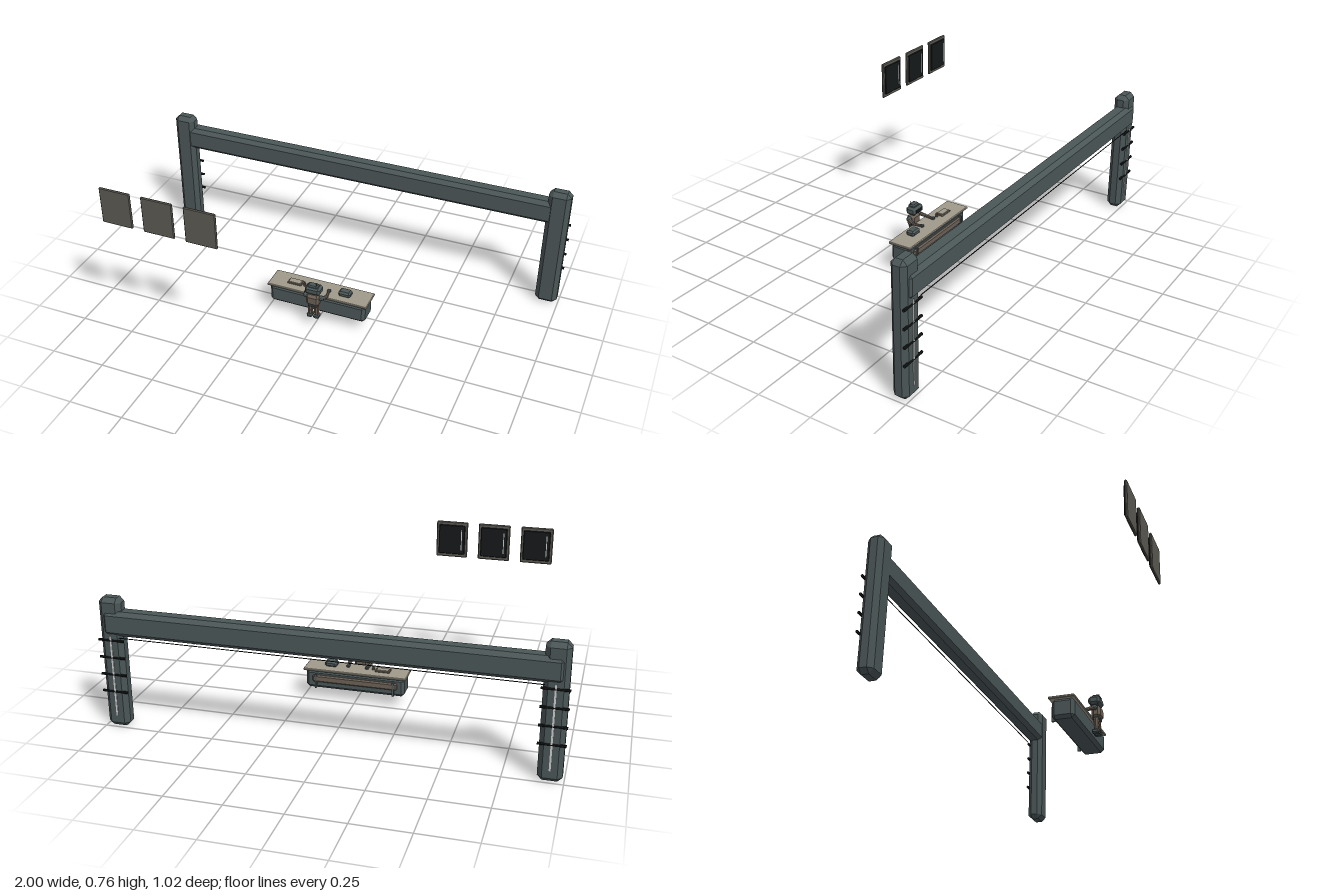
import * as THREE from 'three';
import { ConvexGeometry } from 'three/addons/geometries/ConvexGeometry.js';

const mat = (color) => new THREE.MeshStandardMaterial({ color, flatShading: true });
const slate = mat(0x4b5657), brown = mat(0x6b6055), stone = mat(0xa09a8c);
const dark = mat(0x151819), frame = mat(0x5c5a54), pale = mat(0xc8ccc8);

// Box with every edge and corner cut off by c
function chamferBox(w, h, d, c) {
  const pts = [];
  for (const x of [-1, 1]) for (const y of [-1, 1]) for (const z of [-1, 1]) {
    for (let k = 0; k < 3; k++) {
      const i = [c, c, c];
      i[k] = 0;
      pts.push(new THREE.Vector3(x * (w / 2 - i[0]), y * (h / 2 - i[1]), z * (d / 2 - i[2])));
    }
  }
  return new ConvexGeometry(pts);
}

function add(parent, name, geometry, material, x, y, z) {
  const mesh = new THREE.Mesh(geometry, material);
  mesh.name = name;
  mesh.position.set(x, y, z);
  parent.add(mesh);
  return mesh;
}

// Block given by its limits on each axis, chamfered when c > 0
function block(parent, name, material, [x0, x1], [y0, y1], [z0, z1], c = 0) {
  const s = [x1 - x0, y1 - y0, z1 - z0];
  const g = c ? chamferBox(...s, c) : new THREE.BoxGeometry(...s);
  return add(parent, name, g, material, (x0 + x1) / 2, (y0 + y1) / 2, (z0 + z1) / 2);
}

// Round bar between two points
function bar(parent, name, material, a, b, r0, r1 = r0) {
  const p = new THREE.Vector3(...a), q = new THREE.Vector3(...b);
  const m = add(parent, name, new THREE.CylinderGeometry(r1, r0, p.distanceTo(q), 8), material, 0, 0, 0);
  m.position.copy(p).add(q).multiplyScalar(0.5);
  m.quaternion.setFromUnitVectors(new THREE.Vector3(0, 1, 0), q.sub(p).normalize());
  return m;
}

function group(parent, name) {
  const g = new THREE.Group();
  g.name = name;
  parent.add(g);
  return g;
}

function buildGate(root) {
  const gate = group(root, 'gate');
  block(gate, 'crossBeam', slate, [-0.975, 0.975], [0.432, 0.543], [-0.508, -0.429], 0.018);
  bar(gate, 'cable', dark, [-0.9, 0.428, -0.505], [0.9, 0.428, -0.505], 0.002);
  for (const s of [-1, 1]) {
    block(gate, 'post', slate, [s * 0.942 - 0.051, s * 0.942 + 0.051], [0, 0.6], [-0.499, -0.427], 0.02);
    block(gate, 'lightStrip', pale, [s * 0.942 - 0.004, s * 0.942 + 0.004], [0.055, 0.43], [-0.502, -0.496]);
    for (let i = 0; i < 4; i++) {
      const y = 0.17 + i * 0.08;
      bar(gate, 'rung', dark, [s * 0.884, y, -0.497], [s, y, -0.497], 0.006);
    }
  }
}

function buildPanels(root) {
  for (let i = 0; i < 3; i++) {
    const panel = group(root, 'wallPanel');
    const x = -0.743 + i * 0.199;
    block(panel, 'panelFrame', frame, [x - 0.074, x + 0.074], [0.588, 0.76], [0.498, 0.509], 0.004);
    block(panel, 'panelScreen', dark, [x - 0.062, x + 0.062], [0.604, 0.745], [0.492, 0.5], 0.003);
    block(panel, 'screenLine', pale, [x - 0.048, x - 0.044], [0.625, 0.725], [0.491, 0.493]);
  }
}

function buildDesk(root) {
  const desk = group(root, 'desk');
  block(desk, 'deskBase', slate, [-0.233, 0.233], [0.054, 0.144], [0.009, 0.11], 0.014);
  block(desk, 'deskTop', stone, [-0.243, 0.243], [0.142, 0.153], [-0.002, 0.115], 0.003);
  block(desk, 'backRail', brown, [-0.2, 0.2], [0.088, 0.122], [0, 0.018], 0.006);
  for (const s of [-1, 1])
    block(desk, 'backStrip', slate, [s * 0.183 - 0.004, s * 0.183 + 0.004], [0.06, 0.127], [-0.004, 0.012]);
  // Things lying on the desk
  block(desk, 'terminal', slate, [0.094, 0.152], [0.152, 0.179], [0.041, 0.084], 0.008);
  block(desk, 'tray', brown, [-0.158, -0.088], [0.152, 0.16], [0.04, 0.08], 0.003);
  block(desk, 'trayPaper', stone, [-0.15, -0.096], [0.159, 0.163], [0.046, 0.074]);
  bar(desk, 'stamp', brown, [-0.076, 0.153, 0.066], [-0.076, 0.173, 0.066], 0.007, 0.004);
}

// Small robot standing at the desk, looking toward -z
function buildClerk(root) {
  const clerk = group(root, 'clerk');
  block(clerk, 'hips', slate, [-0.023, 0.023], [0.115, 0.132], [0.128, 0.16], 0.005);
  block(clerk, 'torso', brown, [-0.032, 0.032], [0.126, 0.182], [0.124, 0.165], 0.011);
  bar(clerk, 'neck', slate, [0, 0.178, 0.143], [0, 0.192, 0.143], 0.01);
  block(clerk, 'head', slate, [-0.037, 0.037], [0.187, 0.226], [0.112, 0.164], 0.01);
  block(clerk, 'cap', slate, [-0.024, 0.024], [0.222, 0.235], [0.126, 0.16], 0.005);
  block(clerk, 'visor', dark, [-0.025, 0.025], [0.2, 0.216], [0.109, 0.115], 0.002);
  bar(clerk, 'antenna', dark, [0.016, 0.23, 0.148], [0.016, 0.249, 0.148], 0.002);
  for (const s of [-1, 1]) {
    add(clerk, 'shoulder', new THREE.IcosahedronGeometry(0.013, 1), slate, s * 0.038, 0.168, 0.143);
    bar(clerk, 'upperArm', brown, [s * 0.04, 0.167, 0.143], [s * 0.05, 0.157, 0.113], 0.01, 0.008);
    add(clerk, 'elbow', new THREE.IcosahedronGeometry(0.009, 1), slate, s * 0.05, 0.157, 0.113);
    bar(clerk, 'forearm', brown, [s * 0.05, 0.157, 0.113], [s * 0.045, 0.157, 0.075], 0.008, 0.006);
    block(clerk, 'hand', slate, [s * 0.045 - 0.008, s * 0.045 + 0.008], [0.152, 0.164], [0.058, 0.078], 0.003);
    bar(clerk, 'thigh', brown, [s * 0.015, 0.094, 0.144], [s * 0.015, 0.122, 0.144], 0.012, 0.013);
    bar(clerk, 'shin', brown, [s * 0.015, 0.066, 0.144], [s * 0.015, 0.096, 0.144], 0.01, 0.013);
    block(clerk, 'foot', slate, [s * 0.016 - 0.013, s * 0.016 + 0.013], [0.054, 0.073], [0.125, 0.16], 0.005);
  }
}

export function createModel() {
  const root = new THREE.Group();
  root.name = 'checkpoint';
  buildGate(root);
  buildPanels(root);
  buildDesk(root);
  buildClerk(root);
  return root;
}
